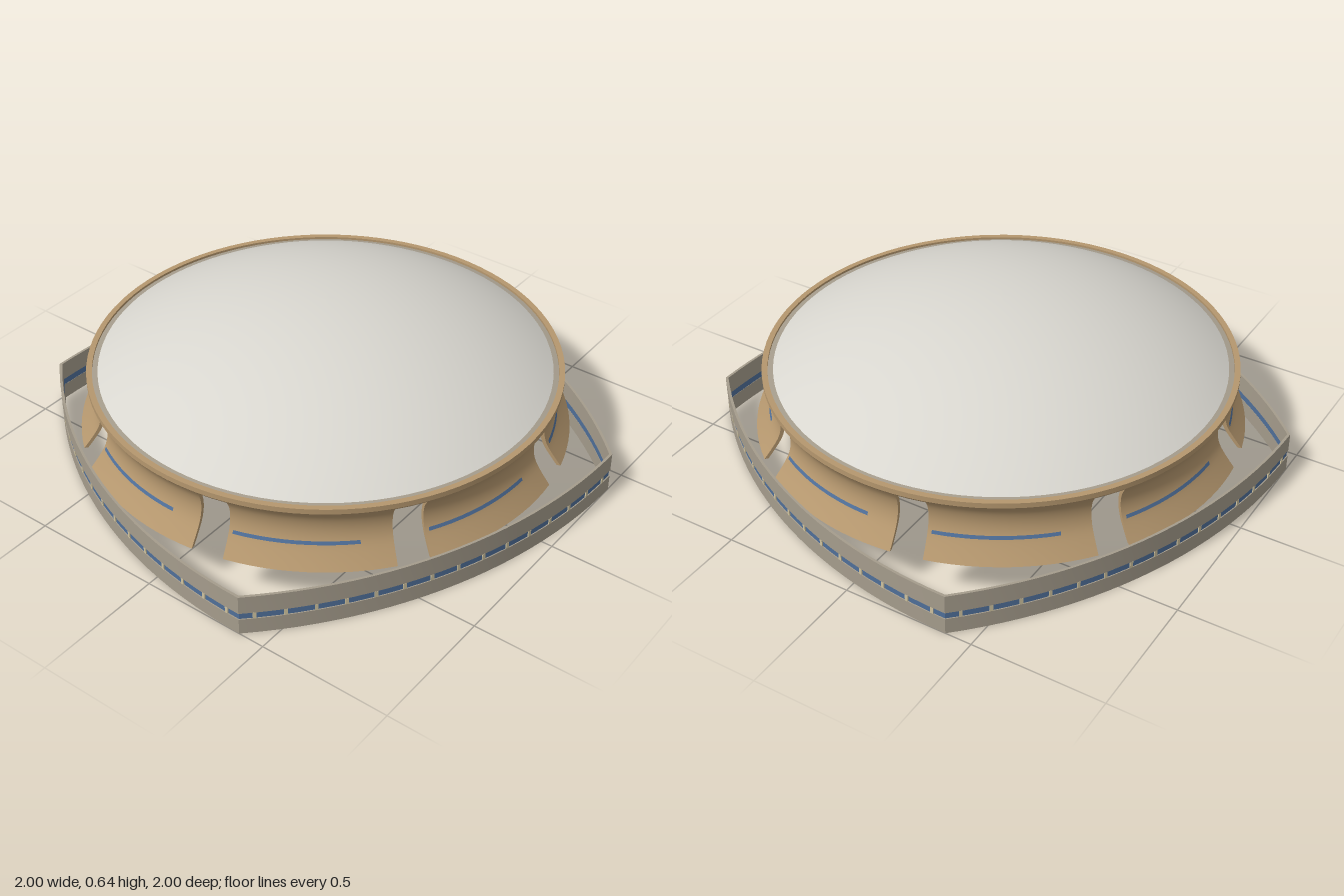
import * as THREE from 'three';
import { toCreasedNormals } from 'three/addons/utils/BufferGeometryUtils.js';

const V = (x, y) => new THREE.Vector2(x, y);
const rad = THREE.MathUtils.degToRad;

const material = (name, color) => {
  const m = new THREE.MeshStandardMaterial({ color, side: THREE.DoubleSide });
  m.name = name;
  return m;
};

// One bowed side of the base wall, turned into all four sides: (x, z) points
function baseOutline(scale, steps = 24) {
  const pts = [];
  for (let side = 0; side < 4; side++) {
    for (let i = 0; i < steps; i++) pts.push(basePoint(side, i / steps).multiplyScalar(scale));
  }
  return pts;
}

function basePoint(side, t) {
  const a = rad(-90 + 46.4 * t);
  let p = V(-0.4 + 1.933 * Math.cos(a), 0.933 + 1.933 * Math.sin(a));
  for (let k = 0; k < side; k++) p = V(-p.y, p.x);
  return p;
}

// Hollow wall following the base outline between two heights
function baseWall(outer, inner, y0, y1) {
  const flip = (p) => V(p.x, -p.y);
  const shape = new THREE.Shape(baseOutline(outer).map(flip));
  shape.holes.push(new THREE.Path(baseOutline(inner).map(flip)));
  const geo = new THREE.ExtrudeGeometry(shape, { depth: y1 - y0, bevelEnabled: false });
  geo.rotateX(-Math.PI / 2).translate(0, y0, 0);
  return toCreasedNormals(geo, 0.4);
}

export function createModel() {
  const model = new THREE.Group();
  const stone = material('warm grey wall', 0xa59c8c);
  const tan = material('tan panel', 0xb5976e);
  const blue = material('blue glazing', 0x4f6f99);
  const cream = material('cream mullion', 0xcfc3a0);
  const pale = material('pale grey dome', 0xd8d6cf);

  const add = (parent, name, geo, mat) => {
    const mesh = new THREE.Mesh(geo, mat);
    mesh.name = name;
    parent.add(mesh);
    return mesh;
  };

  // Base wall with a recessed window band
  const base = new THREE.Group();
  base.name = 'baseWall';
  model.add(base);
  add(base, 'lowerWall', baseWall(1, 0.99, 0, 0.062), stone);
  add(base, 'upperWall', baseWall(1, 0.99, 0.088, 0.16), stone);
  add(base, 'windowBand', baseWall(0.996, 0.991, 0.062, 0.088), blue);

  // Mullions dividing the window band
  const mullion = new THREE.BoxGeometry(0.012, 0.026, 0.005);
  const perSide = 15;
  for (let side = 0; side < 4; side++) {
    for (let i = 0; i < perSide; i++) {
      const t = (i + 0.5) / perSide;
      const p = basePoint(side, t).multiplyScalar(0.9975);
      const m = add(base, 'mullion', mullion, cream);
      m.position.set(p.x, 0.075, p.y);
      m.rotation.y = -rad(46.4 * t + 90 * side);
    }
  }

  // Eight flared panels around the drum
  const outer = new THREE.SplineCurve([
    V(0.912, 0.155), V(0.885, 0.19), V(0.858, 0.23), V(0.845, 0.265),
    V(0.842, 0.3), V(0.849, 0.335), V(0.868, 0.368),
  ]).getPoints(18);
  const inner = outer.map((p) => V(p.x - 0.015, p.y)).reverse();
  const profile = [...outer, ...inner];
  const sweep = rad(37.5);
  const panelGeo = toCreasedNormals(
    new THREE.LatheGeometry([...profile, profile[0]], 12, 0, sweep), 0.6);
  const capGeo = new THREE.ShapeGeometry(new THREE.Shape(profile));
  const outerLine = new THREE.LatheGeometry([V(0.861, 0.23), V(0.8555, 0.242)], 10, rad(1), rad(29));
  const innerLine = new THREE.LatheGeometry([V(0.843, 0.225), V(0.832, 0.25)], 10, rad(1), rad(29));

  for (let k = 0; k < 8; k++) {
    const panel = new THREE.Group();
    panel.name = 'drumPanel';
    panel.rotation.y = rad(60 + 45 * k);
    model.add(panel);
    add(panel, 'panelShell', panelGeo, tan);
    for (const phi of [0, sweep]) {
      add(panel, 'panelEnd', capGeo, tan).rotation.y = phi - Math.PI / 2;
    }
    add(panel, 'outerWindowLine', outerLine, blue);
    add(panel, 'innerWindowLine', innerLine, blue);
  }

  // Continuous rim above the panels
  const rim = [
    V(0.855, 0.366), V(0.868, 0.366), V(0.876, 0.376), V(0.876, 0.396),
    V(0.855, 0.396), V(0.855, 0.366),
  ];
  add(model, 'drumRim', toCreasedNormals(new THREE.LatheGeometry(rim, 96), 0.5), tan);

  // Shallow open dome and the narrow ledge it sits on
  const r = 0.835, top = 0.645, foot = 0.39;
  const h = top - foot;
  const R = (r * r + h * h) / (2 * h);
  const arc = [];
  for (let i = 0; i <= 24; i++) {
    const a = Math.asin(r / R) * (1 - i / 24);
    arc.push(V(R * Math.sin(a), top - R + R * Math.cos(a)));
  }
  add(model, 'dome', new THREE.LatheGeometry(arc, 96), pale);
  add(model, 'domeLedge', new THREE.LatheGeometry([V(0.856, 0.387), V(r, foot)], 96), stone);

  return model;
}
